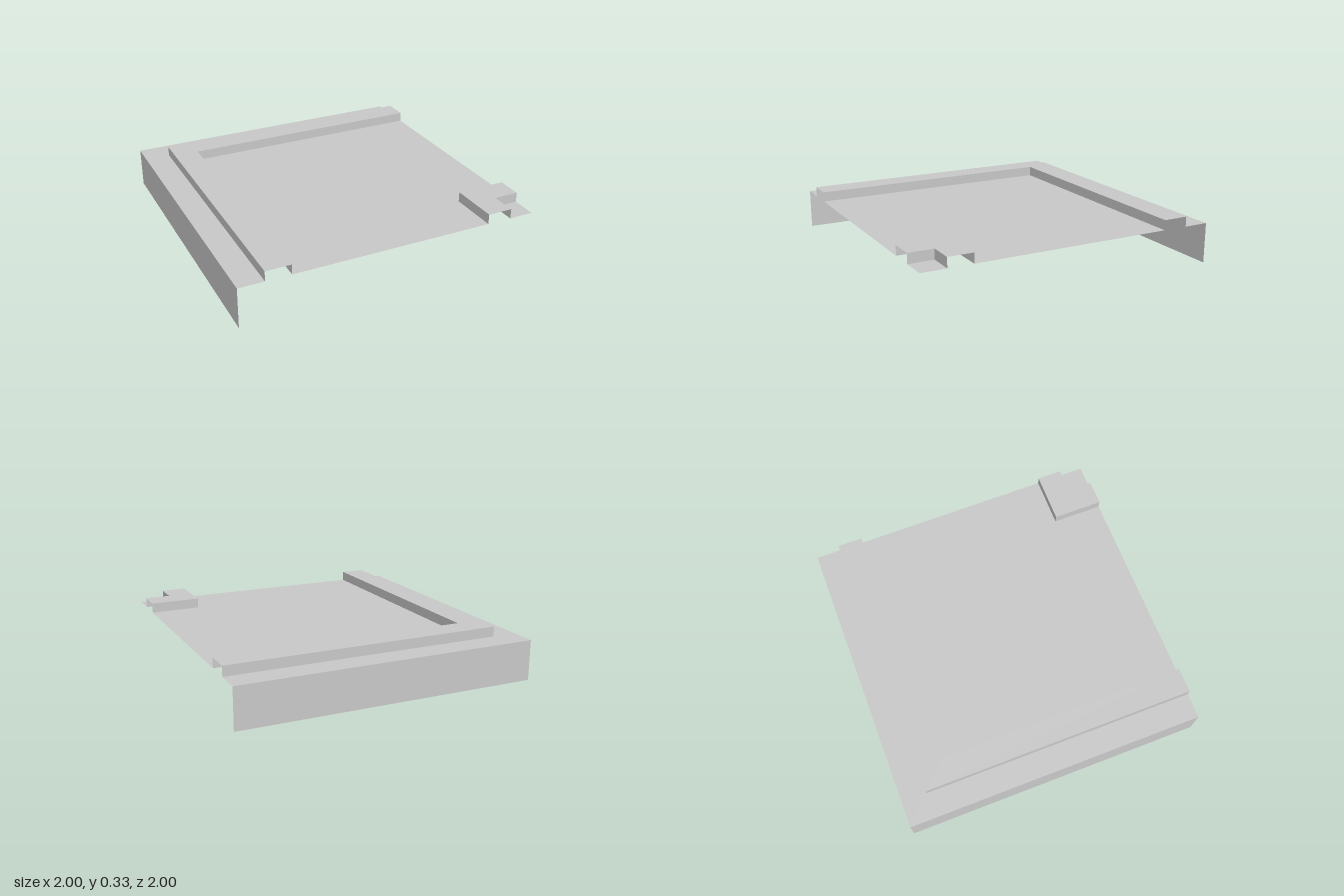
import * as THREE from 'three';

const EDGE = 1, KERB_OUT = 0.833, KERB_IN = 0.667; // distances from the centre
const GROUND = 0.267, TOP = 0.333;

const material = new THREE.MeshStandardMaterial({
  color: 0xcccccc, side: THREE.DoubleSide, flatShading: true,
});

// Sweeps a profile of [c, y] points round one right-angled turn at x = z = c;
// both arms run out to the open sides at z = 1 and x = 1.
function sweepCorner(name, profile) {
  const paths = profile.map(([c, y]) => [[c, y, EDGE], [c, y, c], [EDGE, y, c]]);
  const positions = [];
  for (let i = 0; i < paths.length - 1; i++) {
    const a = paths[i], b = paths[i + 1];
    for (let j = 0; j < 2; j++) {
      positions.push(...a[j + 1], ...a[j], ...b[j], ...a[j + 1], ...b[j], ...b[j + 1]);
    }
  }
  const geometry = new THREE.BufferGeometry();
  geometry.setAttribute('position', new THREE.Float32BufferAttribute(positions, 3));
  geometry.computeVertexNormals();
  return named(name, geometry);
}

// Flat sheet at ground height from an outline of [x, z] points
function sheet(name, outline) {
  const shape = new THREE.Shape(outline.map(([x, z]) => new THREE.Vector2(x, -z)));
  const geometry = new THREE.ShapeGeometry(shape);
  geometry.rotateX(-Math.PI / 2);
  geometry.translate(0, GROUND, 0);
  return named(name, geometry);
}

function named(name, geometry) {
  const mesh = new THREE.Mesh(geometry, material);
  mesh.name = name;
  return mesh;
}

export function createModel() {
  const group = new THREE.Group();
  group.name = 'cornerTile';

  group.add(
    // Outer walls on the back and one side, with the ledge above them
    sweepCorner('outerWalls', [[-EDGE, 0], [-EDGE, GROUND]]),
    sweepCorner('outerLedge', [[-EDGE, GROUND], [-KERB_OUT, GROUND]]),
    // Long raised kerb, hollow underneath and open at its ends
    sweepCorner('outerKerb', [
      [-KERB_OUT, GROUND], [-KERB_OUT, TOP], [-KERB_IN, TOP], [-KERB_IN, GROUND],
    ]),
    // Floor, notched for the small kerb
    sheet('floor', [
      [-KERB_IN, EDGE], [KERB_IN, EDGE], [KERB_IN, KERB_IN],
      [EDGE, KERB_IN], [EDGE, -KERB_IN], [-KERB_IN, -KERB_IN],
    ]),
    // Small kerb round the opposite corner
    sweepCorner('innerKerb', [
      [KERB_IN, GROUND], [KERB_IN, TOP], [KERB_OUT, TOP], [KERB_OUT, GROUND],
    ]),
    sheet('cornerGround', [
      [KERB_OUT, EDGE], [EDGE, EDGE], [EDGE, KERB_OUT], [KERB_OUT, KERB_OUT],
    ]),
  );
  return group;
}
